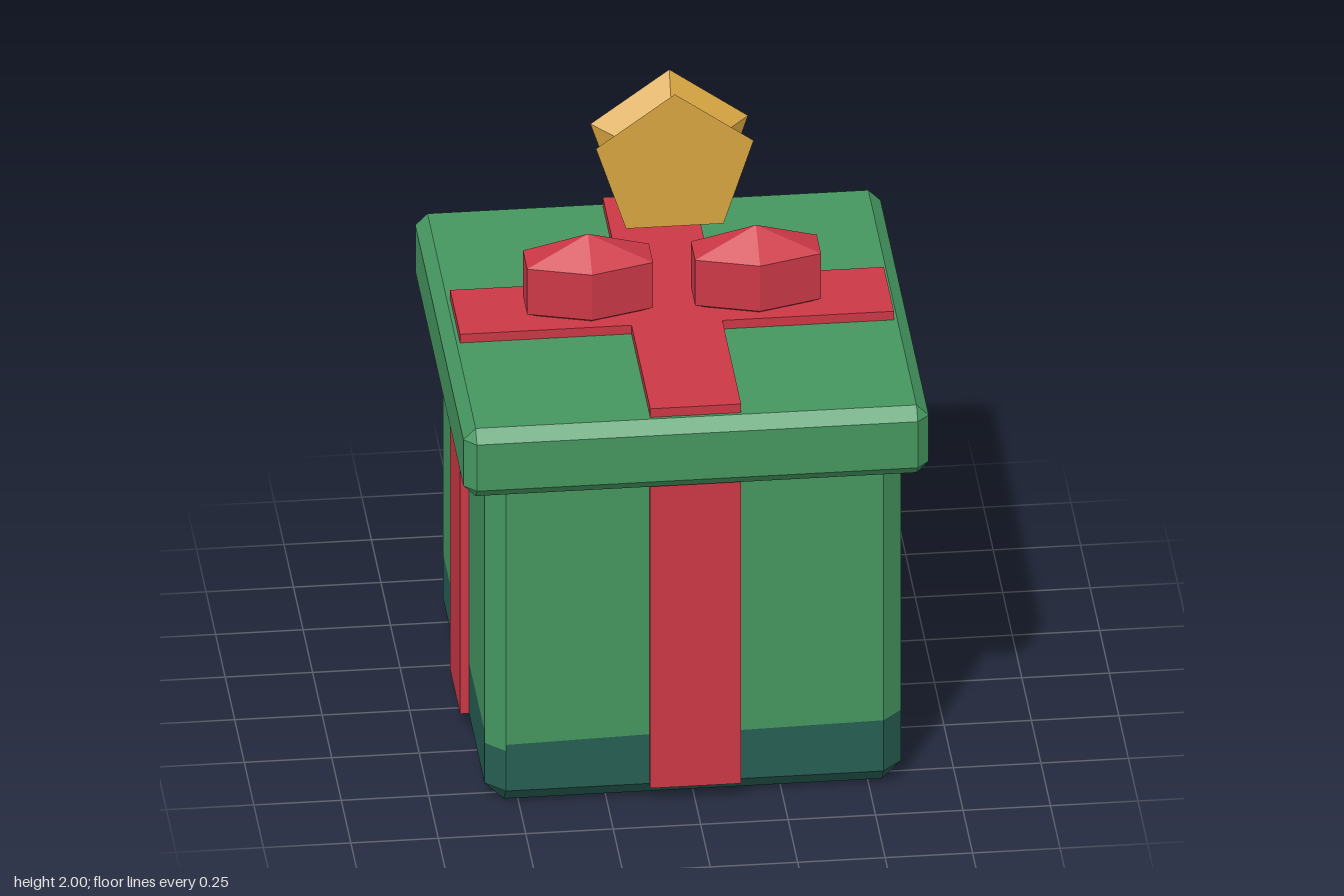
import * as THREE from 'three';
import { ConvexGeometry } from 'three/addons/geometries/ConvexGeometry.js';

const colour = (name, hex) => {
  const m = new THREE.MeshStandardMaterial({ color: hex });
  m.name = name;
  return m;
};

function add(parent, name, geometry, material) {
  const mesh = new THREE.Mesh(geometry, material);
  mesh.name = name;
  parent.add(mesh);
  return mesh;
}

// Flat facets for low-poly parts
function faceted(geometry) {
  const g = geometry.toNonIndexed();
  g.computeVertexNormals();
  return g;
}

// Octagonal ring of a square with cut corners
function ring(half, cut, y) {
  const points = [], a = half - cut;
  for (const sx of [-1, 1]) for (const sz of [-1, 1]) {
    points.push(new THREE.Vector3(sx * half, y, sz * a), new THREE.Vector3(sx * a, y, sz * half));
  }
  return points;
}

// Corners of a square
function square(half, y) {
  return [[-1, -1], [-1, 1], [1, -1], [1, 1]].map(([x, z]) => new THREE.Vector3(x * half, y, z * half));
}

const shapeOf = (points) => new THREE.ShapeGeometry(new THREE.Shape(points.map(([x, y]) => new THREE.Vector2(x, y))));

export function createModel() {
  const green = colour('wrapping green', 0x459760);
  const teal = colour('deep teal', 0x265e52);
  const red = colour('ribbon red', 0xcb3846);
  const gold = colour('ornament gold', 0xd8a540);

  const model = new THREE.Group();
  model.name = 'giftBox';

  // Box: bevelled foot, then eight upright panels painted in two colours
  const box = new THREE.Group();
  box.name = 'box';
  model.add(box);
  const half = 0.595, cut = 0.055, flat = half - cut, bottom = 0.055, top = 1.08;
  add(box, 'foot', new ConvexGeometry([...square(flat, 0), ...ring(half, cut, bottom)]), teal);

  function panel(name, angle, distance, edge) {
    const left = edge[0][0], right = edge[edge.length - 1][0];
    const lower = add(box, name + 'Lower', shapeOf([[left, bottom], [right, bottom], ...[...edge].reverse()]), teal);
    const upper = add(box, name + 'Upper', shapeOf([...edge, [right, top], [left, top]]), green);
    for (const mesh of [lower, upper]) {
      mesh.geometry.translate(0, 0, distance);
      mesh.rotation.y = angle;
    }
  }

  // Upper edge of the dark band on each side, from left to right
  const bands = [
    ['front', [[-0.54, 0.205], [-0.13, 0.215], [0.13, 0.213], [0.54, 0.22]], 0.22],
    ['left', [[-0.54, 0.19], [-0.01, 0.175], [0.01, 0.252], [0.54, 0.24]], 0.24],
    ['back', [[-0.54, 0.21], [0, 0.21], [0.13, 0.22], [0.24, 0.21], [0.26, 0.16], [0.29, 0.15], [0.33, 0.16],
      [0.345, 0.205], [0.37, 0.22], [0.44, 0.22], [0.455, 0.2], [0.465, 0.16], [0.48, 0.155], [0.54, 0.175]], 0.19],
    ['right', [[-0.54, 0.2], [-0.01, 0.2], [0.01, 0.22], [0.54, 0.225]], 0.185],
  ];
  const bevel = cut / Math.SQRT2;
  bands.forEach(([name, edge, cornerHeight], i) => {
    const angle = i * Math.PI / 2;
    panel(name + 'Wall', angle, half, edge);
    panel(name + 'Corner', angle + Math.PI / 4, (half + flat) / Math.SQRT2,
      [[-bevel, cornerHeight], [bevel, cornerHeight]]);

    // Ribbon strip down the middle of each wall
    const strip = new THREE.BoxGeometry(0.26, 1.0, 0.03);
    strip.translate(0, 0.553, 0.605);
    add(model, name + 'Ribbon', strip, red).rotation.y = angle;
  });

  // Lid with bevels on every edge
  const L = 0.665, c = 0.035;
  add(model, 'lid', new ConvexGeometry([
    ...square(L - c, 1.04), ...ring(L, c, 1.04 + c), ...ring(L, c, 1.26 - c), ...square(L - c, 1.26),
  ]), green);

  // Ribbon cross on the lid
  const w = 0.13, r = 0.62;
  const cross = new THREE.Shape([
    [w, w], [w, r], [-w, r], [-w, w], [-r, w], [-r, -w], [-w, -w], [-w, -r], [w, -r], [w, -w], [r, -w], [r, w],
  ].map(([x, y]) => new THREE.Vector2(x, y)));
  const crossGeometry = new THREE.ExtrudeGeometry(cross, { depth: 0.035, bevelEnabled: false });
  crossGeometry.rotateX(-Math.PI / 2).translate(0, 1.253, 0);
  add(model, 'lidRibbon', crossGeometry, red);

  // Two faceted bow loops
  for (const side of [-1, 1]) {
    const loop = new THREE.SphereGeometry(1, 6, 3);
    loop.rotateY(Math.PI / 6).scale(0.24, 0.147, 0.127).translate(side * 0.24, 1.373, 0);
    add(model, side > 0 ? 'leftBowLoop' : 'rightBowLoop', faceted(loop), red);
  }

  // Floating five-sided ornament with a pinched waist
  const R = 0.237, d = 0.073;
  const profile = [[0, -d], [R, -d], [R / 2, 0], [R, d], [0, d]].map(([x, y]) => new THREE.Vector2(x, y));
  const ornament = new THREE.LatheGeometry(profile, 5);
  ornament.rotateX(-Math.PI / 2).translate(0, 1.763, 0);
  add(model, 'ornament', faceted(ornament), gold);

  return model;
}
